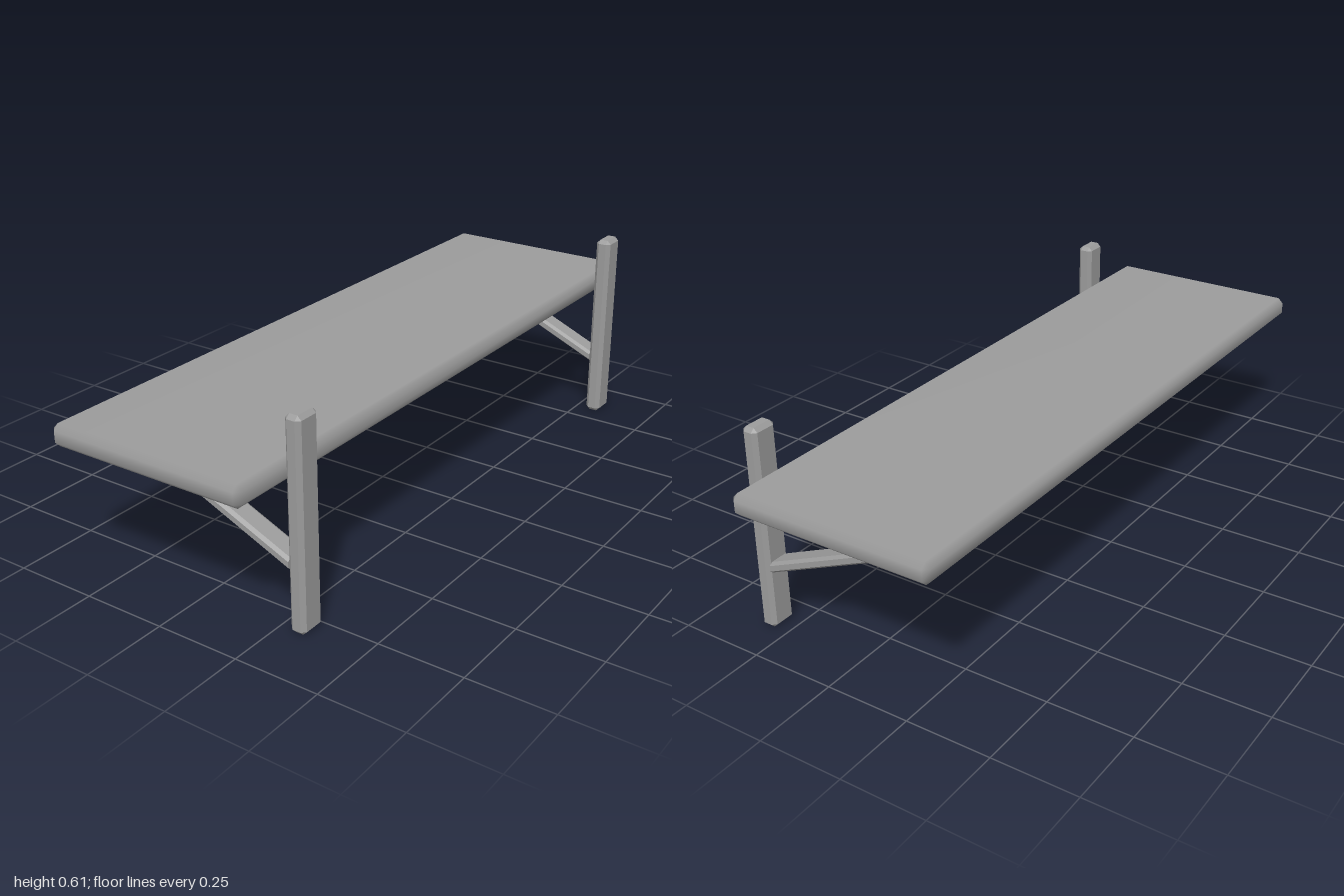
import * as THREE from 'three';
import { mergeVertices } from 'three/addons/utils/BufferGeometryUtils.js';
import { ConvexGeometry } from 'three/addons/geometries/ConvexGeometry.js';

// Box with every edge chamfered by c, centred on the origin
function chamferedBox(w, h, d, c) {
  const points = [];
  const [x, y, z] = [w / 2, h / 2, d / 2];
  for (const sx of [-1, 1]) for (const sy of [-1, 1]) for (const sz of [-1, 1]) {
    points.push(new THREE.Vector3(sx * x, sy * (y - c), sz * (z - c)));
    points.push(new THREE.Vector3(sx * (x - c), sy * y, sz * (z - c)));
    points.push(new THREE.Vector3(sx * (x - c), sy * (y - c), sz * z));
  }
  return new ConvexGeometry(points);
}

// Share vertices so shading runs smoothly over the chamfers
function smooth(geometry) {
  geometry.deleteAttribute('normal');
  const merged = mergeVertices(geometry, 1e-4);
  merged.computeVertexNormals();
  return merged;
}

// Sloping bar with an octagonal section and upright ends; the upper end sinks into the shelf
function braceGeometry() {
  const x0 = -0.245, x1 = 0.287, y0 = 0.405, y1 = 0.176;
  const height = 0.033, half = 0.035, cy = 0.008, cz = 0.01;
  const points = [];
  for (const [x, y] of [[x0, y0], [x1, y1]]) {
    for (const s of [-1, 1]) {
      points.push(new THREE.Vector3(x, y, s * (half - cz)));
      points.push(new THREE.Vector3(x, y + cy, s * half));
      points.push(new THREE.Vector3(x, y + height - cy, s * half));
      points.push(new THREE.Vector3(x, y + height, s * (half - cz)));
    }
  }
  return new ConvexGeometry(points);
}

export function createModel() {
  const grey = new THREE.MeshStandardMaterial({ color: 0x9c9c9c });
  grey.name = 'grey';

  const model = new THREE.Group();
  model.name = 'wallShelf';

  // Long board
  const board = new THREE.Mesh(smooth(chamferedBox(0.618, 0.065, 2, 0.016)), grey);
  board.name = 'shelfBoard';
  board.position.set(-0.026, 0.4455, 0);
  model.add(board);

  // Two brackets, each an upright post and a diagonal brace
  const postShape = chamferedBox(0.048, 0.605, 0.08, 0.0115);
  const braceShape = braceGeometry();
  for (const [name, z] of [['frontBracket', 0.795], ['backBracket', -0.848]]) {
    const bracket = new THREE.Group();
    bracket.name = name;
    bracket.position.z = z;

    const post = new THREE.Mesh(postShape, grey);
    post.name = 'post';
    post.position.set(0.311, 0.3025, 0);

    const brace = new THREE.Mesh(braceShape, grey);
    brace.name = 'brace';

    bracket.add(post, brace);
    model.add(bracket);
  }
  return model;
}
